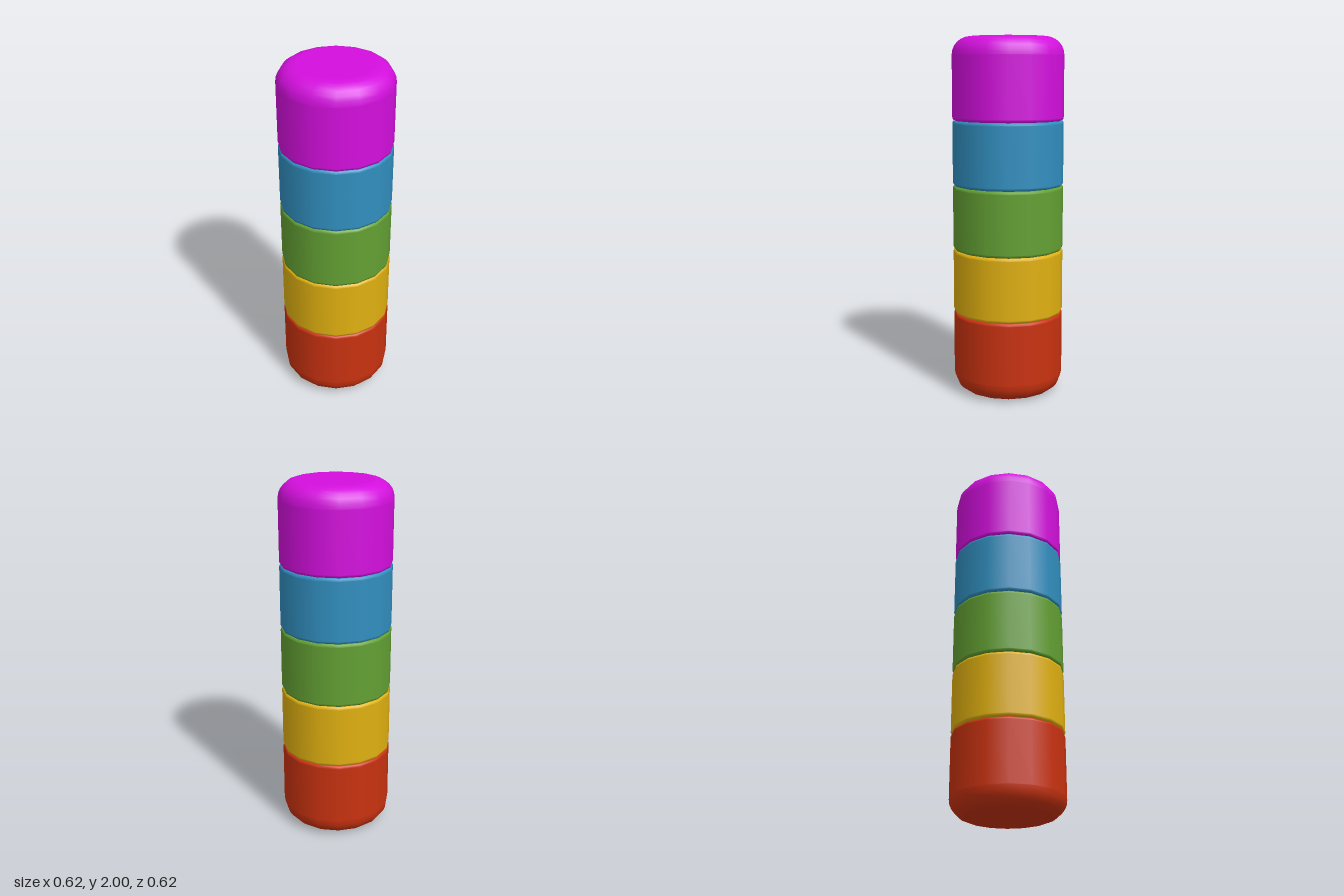
import * as THREE from 'three';

const SIDES = 16;
const RADIUS = 0.31;
const SEAM = 0.013; // small bevel between bands
const CAP = 0.1; // large rounding at both ends

// Quarter round from the end face to the wall; dir is +1 for a bottom edge, -1 for a top edge
function roundedEdge(y, size, dir, steps) {
  const points = [new THREE.Vector2(0, y), new THREE.Vector2(RADIUS - size - 0.004, y)];
  for (let i = 0; i <= steps; i++) {
    const a = (i / steps) * Math.PI / 2;
    points.push(new THREE.Vector2(
      RADIUS - size + Math.sin(a) * size,
      y + dir * size * (1 - Math.cos(a))
    ));
  }
  // support ring keeps the wall straight in shading
  points.push(new THREE.Vector2(RADIUS, y + dir * (size + 0.004)));
  return points;
}

function band(name, bottom, top, bottomRound, topRound, material) {
  const steps = (size) => (size === CAP ? 6 : 2);
  const profile = [
    ...roundedEdge(bottom, bottomRound, 1, steps(bottomRound)),
    ...roundedEdge(top, topRound, -1, steps(topRound)).reverse(),
  ];
  const mesh = new THREE.Mesh(new THREE.LatheGeometry(profile, SIDES), material);
  mesh.name = name;
  return mesh;
}

export function createModel() {
  const model = new THREE.Group();
  model.name = 'stackedCylinder';

  // Bands from bottom to top: name, colour, upper height
  const bands = [
    ['red', 0xc93210, 0.457],
    ['yellow', 0xe0b010, 0.819],
    ['green', 0x63a033, 1.181],
    ['blue', 0x318fc0, 1.543],
    ['magenta', 0xd40fde, 2],
  ];

  let bottom = 0;
  bands.forEach(([name, color, top], i) => {
    const material = new THREE.MeshStandardMaterial({ color });
    material.name = name;
    const bottomRound = i === 0 ? CAP : SEAM;
    const topRound = i === bands.length - 1 ? CAP : SEAM;
    model.add(band(name + 'Band', bottom, top, bottomRound, topRound, material));
    bottom = top;
  });

  return model;
}
